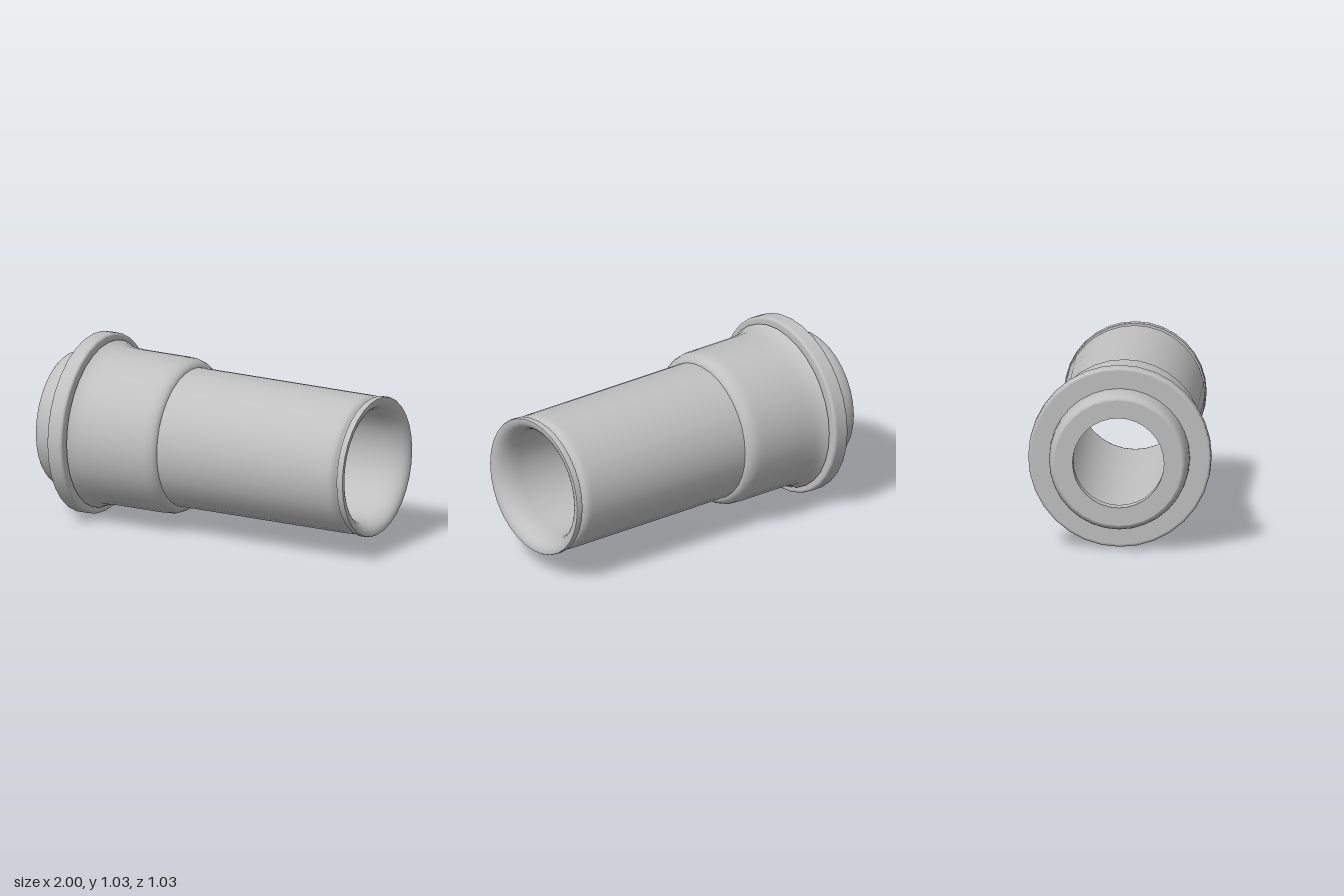
import * as THREE from 'three';

const SIDES = 32;
const AXIS_Y = 0.515;

// Points of an elliptical quarter arc from a to b; the first tangent runs along x or along the radius.
function arc(a, b, startAlongX, steps = 6) {
  const pts = [];
  for (let i = 0; i <= steps; i++) {
    const t = (i / steps) * Math.PI / 2;
    const s = Math.sin(t), c = 1 - Math.cos(t);
    const u = startAlongX ? s : c, v = startAlongX ? c : s;
    pts.push([a[0] + (b[0] - a[0]) * u, a[1] + (b[1] - a[1]) * v]);
  }
  return pts;
}

export function createModel() {
  const model = new THREE.Group();
  model.name = 'pipeFitting';
  const grey = new THREE.MeshStandardMaterial({ color: 0xc0c0c0 });
  grey.name = 'grey';

  // Each part is a list of smooth profile runs of [x, radius]; runs meet at sharp edges.
  // Outer runs go towards +x, inner runs towards -x.
  function part(name, runs) {
    const group = new THREE.Group();
    group.name = name;
    runs.forEach((run) => {
      const pts = run
        .filter((p, i) => i === 0 || Math.hypot(p[0] - run[i - 1][0], p[1] - run[i - 1][1]) > 1e-5)
        .map(([x, r]) => new THREE.Vector2(r, x));
      const geo = new THREE.LatheGeometry(pts, SIDES);
      geo.rotateZ(-Math.PI / 2);
      geo.translate(0, AXIS_Y, 0);
      const mesh = new THREE.Mesh(geo, grey);
      mesh.name = name + 'Surface';
      group.add(mesh);
    });
    model.add(group);
  }

  // Rounded spigot with its flat end face
  part('spigot', [
    [[-1, 0.257], [-1, 0.36]],
    [...arc([-1, 0.36], [-0.91, 0.394], false), [-0.88, 0.396], [-0.845, 0.396]],
  ]);

  // Large flange ring with softened edges
  part('flangeRing', [
    [[-0.845, 0.396], [-0.845, 0.49], [-0.845, 0.497],
      ...arc([-0.845, 0.5], [-0.83, 0.515], false, 4),
      [-0.825, 0.515], [-0.77, 0.515],
      ...arc([-0.765, 0.515], [-0.75, 0.5], true, 4),
      [-0.75, 0.495], [-0.75, 0.44]],
  ]);

  // Narrow groove behind the flange
  part('flangeGroove', [
    [[-0.75, 0.44], [-0.737, 0.44]],
    [[-0.737, 0.44], [-0.737, 0.477]],
  ]);

  // Flared sleeve that rounds down onto the tube
  part('sleeve', [
    [[-0.737, 0.477], [-0.72, 0.466], [-0.695, 0.456], [-0.66, 0.449], [-0.61, 0.446],
      [-0.57, 0.445], [-0.31, 0.445], ...arc([-0.28, 0.444], [-0.2, 0.396], true, 7)],
  ]);

  // Long straight tube with a shoulder before the end groove
  part('tube', [
    [[-0.2, 0.396], [0.88, 0.396], [0.905, 0.395], [0.92, 0.391], [0.93, 0.383]],
    [[0.93, 0.383], [0.95, 0.36]],
    [[0.95, 0.36], [0.962, 0.36]],
  ]);

  // Thin collar on the open end
  part('endCollar', [
    [[0.962, 0.36], [0.962, 0.396]],
    [[0.962, 0.396], [0.967, 0.4], [0.995, 0.4], [1, 0.397]],
  ]);

  // Rounded mouth leading into the bore
  part('mouth', [
    [[1, 0.397], [1, 0.39], ...arc([1, 0.385], [0.87, 0.312], false, 8)],
  ]);

  // Bore, inner step and the narrower hole through the spigot end
  part('bore', [
    [[0.87, 0.312], [-0.92, 0.306]],
    [[-0.92, 0.306], [-0.92, 0.257]],
    [[-0.92, 0.257], [-1, 0.257]],
  ]);

  return model;
}
